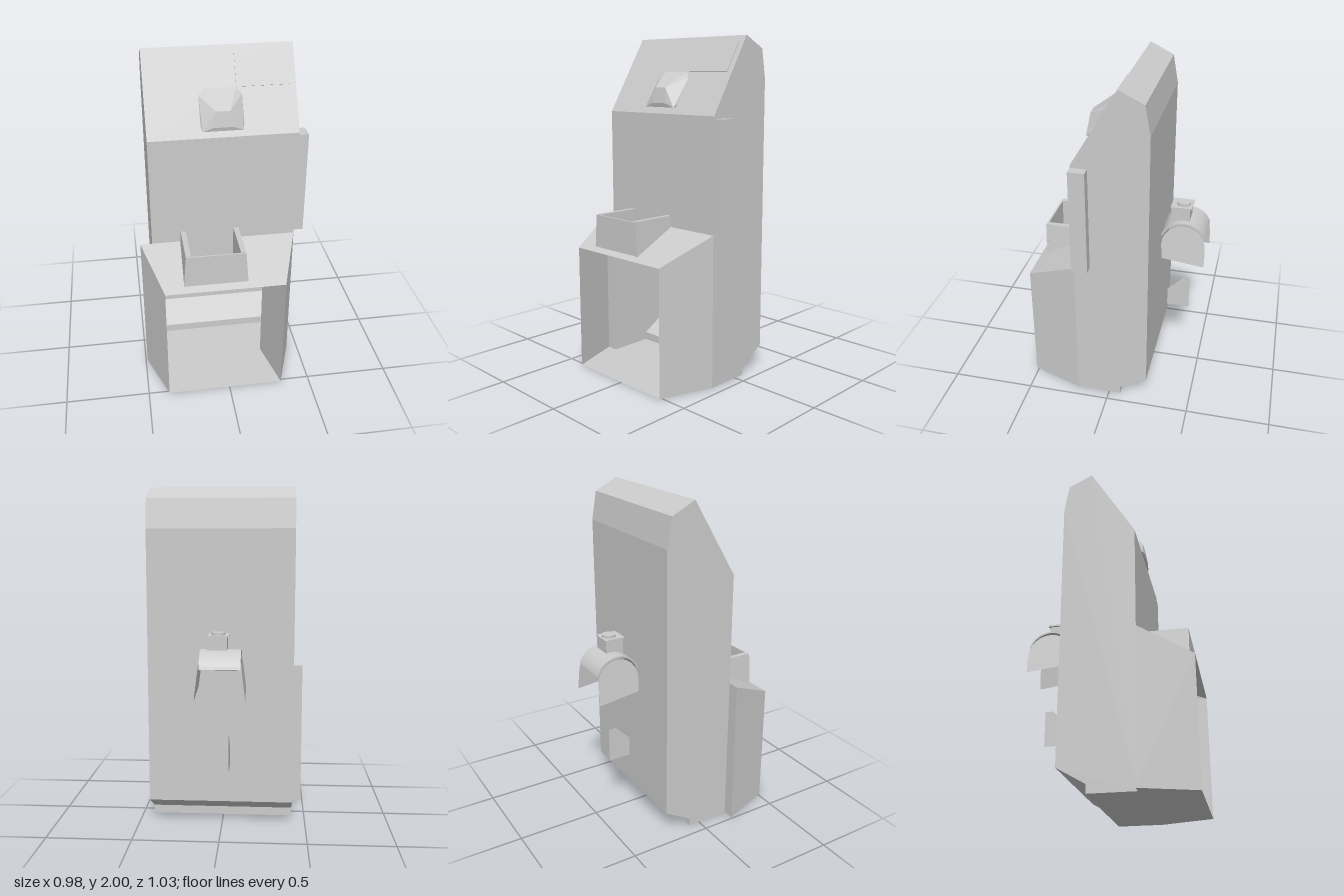
import * as THREE from 'three';
import { ConvexGeometry } from 'three/addons/geometries/ConvexGeometry.js';

const material = new THREE.MeshStandardMaterial({ color: 0xcccccc, side: THREE.DoubleSide });

export function createModel() {
  const root = new THREE.Group();

  const add = (name, geometry, parent = root) => {
    const mesh = new THREE.Mesh(geometry, material);
    mesh.name = name;
    parent.add(mesh);
    return mesh;
  };
  const box = (name, x0, x1, y0, y1, z0, z1, parent) => {
    const mesh = add(name, new THREE.BoxGeometry(x1 - x0, y1 - y0, z1 - z0), parent);
    mesh.position.set((x0 + x1) / 2, (y0 + y1) / 2, (z0 + z1) / 2);
    return mesh;
  };
  // Flat sheets: each polygon is a fan of triangles, counter-clockwise from outside
  const sheets = (name, polygons, parent) => {
    const points = [];
    for (const p of polygons)
      for (let i = 1; i < p.length - 1; i++) points.push(...p[0], ...p[i], ...p[i + 1]);
    const geometry = new THREE.BufferGeometry();
    geometry.setAttribute('position', new THREE.Float32BufferAttribute(points, 3));
    geometry.computeVertexNormals();
    return add(name, geometry, parent);
  };

  // Cabinet shell: side profile as [z, y]
  const L = -0.42, R = 0.435;
  const profile = [[0.2, 0], [0.2, 0.9], [0.2, 1.56], [-0.065, 2], [-0.205, 1.93],
    [-0.235, 1.76], [-0.235, 0.145], [-0.07, 0.05], [-0.07, 0]];
  const side = x => profile.map(([z, y]) => [x, y, z]);
  sheets('cabinetSides', [side(R).reverse(), side(L)].map(p => {
    // keep the fan centred on the lower front corner
    const i = p.findIndex(([, y, z]) => y === 0 && z === 0.2);
    return [...p.slice(i), ...p.slice(0, i)];
  }).map(p => p.reverse()).map(p => [p[p.length - 1], ...p.slice(0, -1)]));
  const skin = [];
  for (let i = 1; i < profile.length; i++) {
    const [z0, y0] = profile[i], [z1, y1] = profile[(i + 1) % profile.length];
    skin.push([[L, y0, z0], [R, y0, z0], [R, y1, z1], [L, y1, z1]]);
  }
  sheets('cabinetSkin', skin);

  // Tapered lower front, open at the front
  const FL = -0.375, FR = 0.325, BL = -0.49, zf = 0.515, zb = 0.2;
  sheets('lowerFront', [
    [[BL, 0, zb], [FL, 0, zf], [FL, 0.75, zf], [BL, 0.9, zb]],
    [[FR, 0, zf], [R, 0, zb], [R, 0.9, zb], [FR, 0.75, zf]],
    [[BL, 0, zb], [R, 0, zb], [FR, 0, zf], [FL, 0, zf]],
    [[L, 0, zb], [BL, 0, zb], [BL, 0.9, zb], [L, 0.9, zb]],
  ]);
  sheets('innerPanel', [[[FR, 0, zf], [FR, 0.75, zf], [0.255, 0.75, zb], [0.255, 0, zb]]]);

  // Sloping shelf with a rectangular hole under the tray
  const hl = -0.215, hr = 0.065, zh = 0.465, yh = 0.774;
  sheets('slopingShelf', [
    [[FL, 0.75, zf], [FR, 0.75, zf], [0.342, yh, zh], [-0.393, yh, zh]],
    [[-0.393, yh, zh], [hl, yh, zh], [hl, 0.9, zb], [BL, 0.9, zb]],
    [[hr, yh, zh], [0.342, yh, zh], [R, 0.9, zb], [hr, 0.9, zb]],
  ]);

  // Tray: front panel and two side rails leaning inwards
  const tray = new THREE.Group();
  tray.name = 'tray';
  tray.position.x = -0.077;
  root.add(tray);
  const panel = new THREE.Shape([[-0.187, 0.77], [0.187, 0.77], [0.172, 0.965], [-0.172, 0.965]]
    .map(p => new THREE.Vector2(...p)));
  add('trayFront', new THREE.ExtrudeGeometry(panel, { depth: 0.01, bevelEnabled: false }), tray).position.z = 0.465;
  for (const s of [-1, 1]) {
    const rail = new THREE.Shape([[s * 0.142, 0.77], [s * 0.185, 0.77], [s * 0.172, 0.968], [s * 0.142, 0.968]]
      .map(p => new THREE.Vector2(...p)));
    add('trayRail', new THREE.ExtrudeGeometry(rail, { depth: 0.265, bevelEnabled: false }), tray).position.z = 0.2;
  }

  // Block on the left flank
  box('sideBlock', 0.43, 0.49, 0.92, 1.545, 0.105, 0.2);

  // Faceted knob on the sloping top
  const slopeZ = y => 0.2 - (y - 1.56) * 0.265 / 0.44;
  const knob = [];
  for (const s of [-1, 1]) {
    for (const [x, y] of [[0.115, 1.597], [0.122, 1.62], [0.122, 1.765], [0.09, 1.797]])
      knob.push(new THREE.Vector3(s * x, y, slopeZ(y) + 0.002));
    knob.push(new THREE.Vector3(s * 0.115, 1.597, 0.196));
    knob.push(new THREE.Vector3(s * 0.055, 1.62, 0.202), new THREE.Vector3(s * 0.04, 1.71, 0.187));
  }
  add('knob', new ConvexGeometry(knob)).position.x = 0.003;

  // Thin plate lying on the slope
  const plate = add('slopePlate', new THREE.BoxGeometry(0.305, 0.195, 0.008));
  plate.position.set(0.248, 1.88, slopeZ(1.88) + 0.001);
  plate.rotation.x = -Math.atan2(0.265, 0.44);

  // Arched hood behind the cabinet
  const hood = new THREE.Group();
  hood.name = 'hood';
  hood.position.set(-0.005, 0, -0.38);
  root.add(hood);
  const half = 1.24, arch = new THREE.Shape();
  arch.absarc(0, 0.95, 0.14, Math.PI / 2 - half, Math.PI / 2 + half, false);
  arch.absarc(0, 0.95, 0.131, Math.PI / 2 + half, Math.PI / 2 - half, true);
  const roof = add('hoodRoof', new THREE.ExtrudeGeometry(arch,
    { depth: 0.23, bevelEnabled: false, curveSegments: 10 }), hood);
  roof.rotation.y = Math.PI / 2;
  roof.position.x = -0.115;

  // Flared end panels: local [z, y] outline, pushed outwards towards the bottom
  const outline = [[0.12, 0.85], [0.128, 0.94]];
  for (let i = 1; i < 12; i++) {
    const a = i / 12 * Math.PI;
    outline.push([Math.cos(a) * 0.13 - 0.003, 0.94 + Math.sin(a) * 0.13]);
  }
  outline.push([-0.135, 0.92], [-0.135, 0.82]);
  for (const s of [-1, 1])
    sheets('hoodEnd', [outline.map(([z, y]) => [s * (0.112 + (1.07 - y) * 0.12), y, z])], hood);

  // Chimney on the hood
  box('chimney', -0.04, 0.07, 1.065, 1.162, -0.41, -0.3);
  box('chimneyCap', -0.052, 0.07, 1.162, 1.17, -0.418, -0.294);
  add('chimneyLid', new THREE.CylinderGeometry(0.04, 0.04, 0.015, 24)).position.set(0.01, 1.177, -0.365);

  // Thin fin below the hood
  sheets('fin', [[[-0.05, 0.38, -0.275], [-0.05, 0.5, -0.275], [-0.05, 0.595, -0.37],
    [-0.05, 0.595, -0.415], [-0.05, 0.38, -0.415]]]);

  return root;
}
